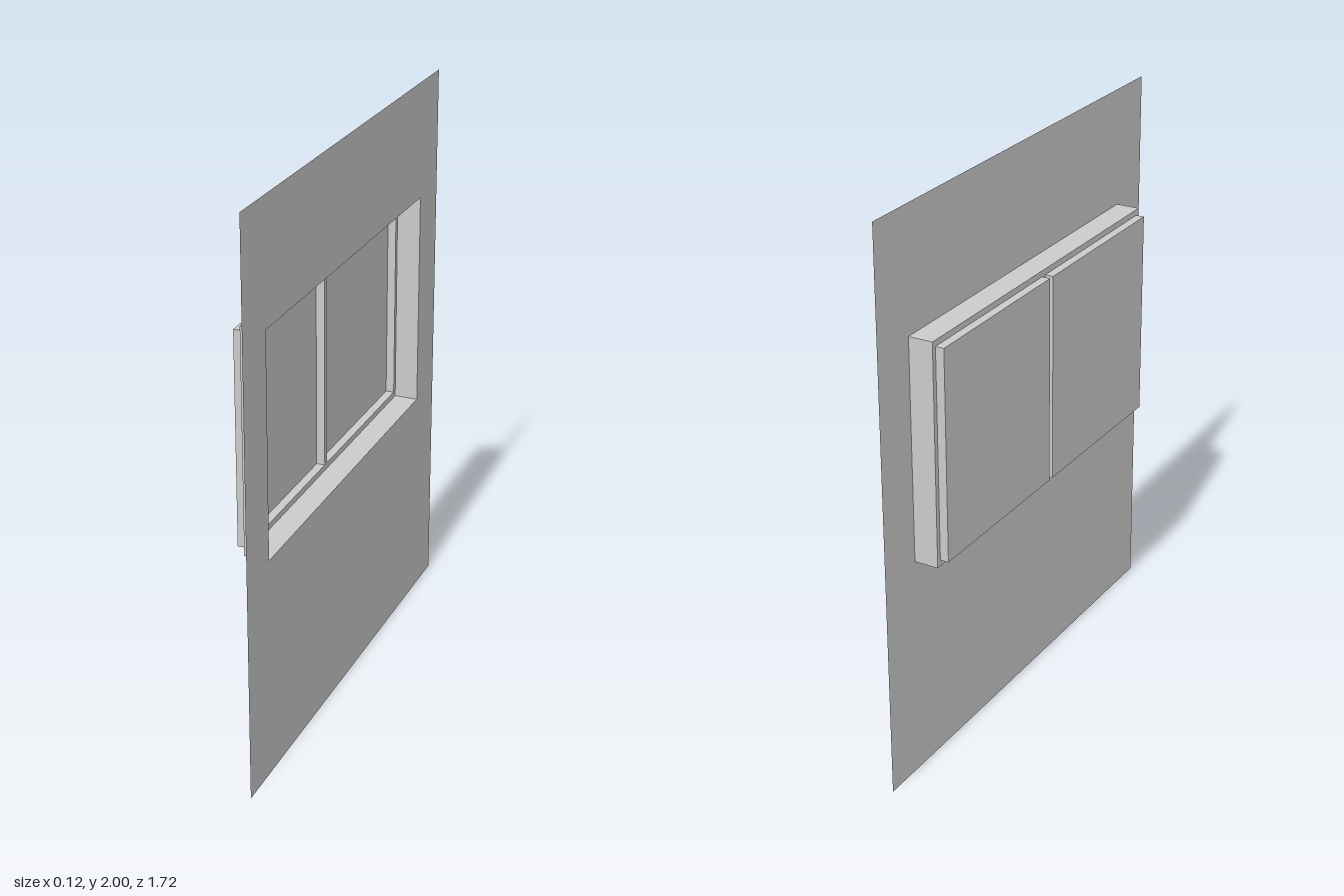
import * as THREE from 'three';

const material = new THREE.MeshStandardMaterial({ color: 0xcccccc, side: THREE.DoubleSide });

// Depth planes: wall face, window frame, glass
const WALL_X = 0.058, FRAME_X = -0.028, GLASS_X = -0.058;

// Rectangles in the wall plane: z range and y range
const wall = { z0: -0.858, z1: 0.858, y0: 0, y1: 2 };
const opening = { z0: -0.686, z1: 0.686, y0: 0.789, y1: 1.575 };
const panes = [
  { z0: -0.669, z1: -0.01, y0: 0.81, y1: 1.554 },
  { z0: 0.01, z1: 0.669, y0: 0.81, y1: 1.554 },
];

function outline(r, Type) {
  return new Type([[-r.z0, r.y0], [-r.z1, r.y0], [-r.z1, r.y1], [-r.z0, r.y1]]
    .map(([u, v]) => new THREE.Vector2(u, v)));
}

// Flat sheet facing +x with rectangular holes
function sheet(name, r, x, holes = []) {
  const shape = outline(r, THREE.Shape);
  shape.holes = holes.map((h) => outline(h, THREE.Path));
  const geometry = new THREE.ShapeGeometry(shape).rotateY(Math.PI / 2).translate(x, 0, 0);
  const mesh = new THREE.Mesh(geometry, material);
  mesh.name = name;
  return mesh;
}

// Open four-sided sleeve running between two depths
function sleeve(name, r, x0, x1) {
  let geometry = new THREE.CylinderGeometry(Math.SQRT1_2, Math.SQRT1_2, 1, 4, 1, true)
    .rotateY(Math.PI / 4)
    .rotateZ(Math.PI / 2)
    .scale(x1 - x0, r.y1 - r.y0, r.z1 - r.z0)
    .translate((x0 + x1) / 2, (r.y0 + r.y1) / 2, (r.z0 + r.z1) / 2)
    .toNonIndexed();
  geometry.computeVertexNormals();
  const mesh = new THREE.Mesh(geometry, material);
  mesh.name = name;
  return mesh;
}

export function createModel() {
  const model = new THREE.Group();
  model.name = 'wallWithWindow';

  // Wall with its window opening and reveal
  model.add(sheet('wall', wall, WALL_X, [opening]));
  model.add(sleeve('windowReveal', opening, FRAME_X, WALL_X));

  // Frame border and centre mullion
  model.add(sheet('windowFrame', opening, FRAME_X, panes));

  // Two recessed panes
  panes.forEach((pane, i) => {
    const side = i === 0 ? 'rear' : 'front';
    model.add(sleeve(side + 'PaneReveal', pane, GLASS_X, FRAME_X));
    model.add(sheet(side + 'Pane', pane, GLASS_X));
  });
  return model;
}
